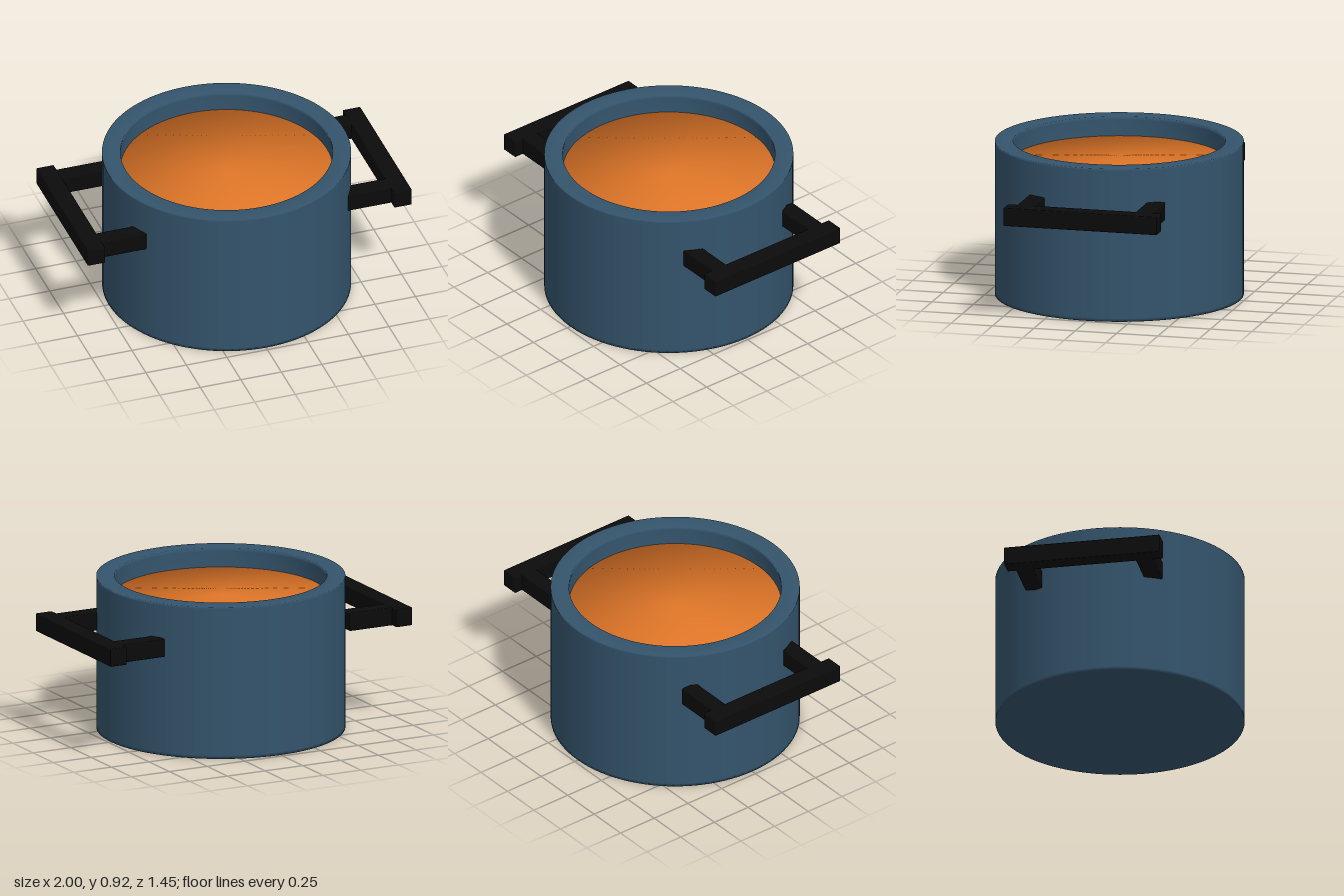
import * as THREE from 'three';
import { RoundedBoxGeometry } from 'three/addons/geometries/RoundedBoxGeometry.js';

const SEGMENTS = 96;
const CENTRE_X = 0.006;
const OUTER = 0.727, INNER = 0.62, HEIGHT = 0.916, FILL = 0.8, FLOOR = 0.08;

const material = (color) => new THREE.MeshStandardMaterial({ color });

// Solid of revolution with soft, blended normals
function lathe(name, profile, mat) {
  const points = profile.map(([r, y]) => new THREE.Vector2(r, y));
  const mesh = new THREE.Mesh(new THREE.LatheGeometry(points, SEGMENTS), mat);
  mesh.name = name;
  mesh.position.x = CENTRE_X;
  return mesh;
}

// Slightly softened bar given by its extents in x and z
function bar(name, x0, x1, z0, z1, mat) {
  const y0 = 0.602, y1 = 0.71;
  const mesh = new THREE.Mesh(new RoundedBoxGeometry(x1 - x0, y1 - y0, z1 - z0, 2, 0.006), mat);
  mesh.position.set((x0 + x1) / 2, (y0 + y1) / 2, (z0 + z1) / 2);
  mesh.name = name;
  return mesh;
}

export function createModel() {
  const model = new THREE.Group();
  model.name = 'cookingPot';
  const blue = material(0x34546c), orange = material(0xe07628), black = material(0x0b0b0b);

  // Thick-walled pot; the close rings keep the wall shading straight
  model.add(lathe('potBody', [
    [0, 0], [OUTER, 0], [OUTER, 0.02], [OUTER, HEIGHT - 0.012], [OUTER, HEIGHT],
    [INNER, HEIGHT], [INNER, HEIGHT - 0.02], [INNER, FLOOR], [0, FLOOR],
  ], blue));

  // Soup filling the pot to just below the rim
  model.add(lathe('soup', [[INNER, FLOOR], [INNER, FILL], [0, FILL]], orange));

  // Handles: a grip bar on two arms that meet the pot wall
  for (const side of [1, -1]) {
    const handle = new THREE.Group();
    handle.name = side > 0 ? 'leftHandle' : 'rightHandle';
    const add = (name, near, far, z0, z1) =>
      handle.add(bar(name, Math.min(side * near, side * far), Math.max(side * near, side * far), z0, z1, black));
    add('grip', 0.892, 1, -0.492, 0.435);
    add('backArm', 0.612, 0.9, -0.44, -0.336);
    add('frontArm', 0.617, 0.9, 0.273, 0.378);
    model.add(handle);
  }
  return model;
}
